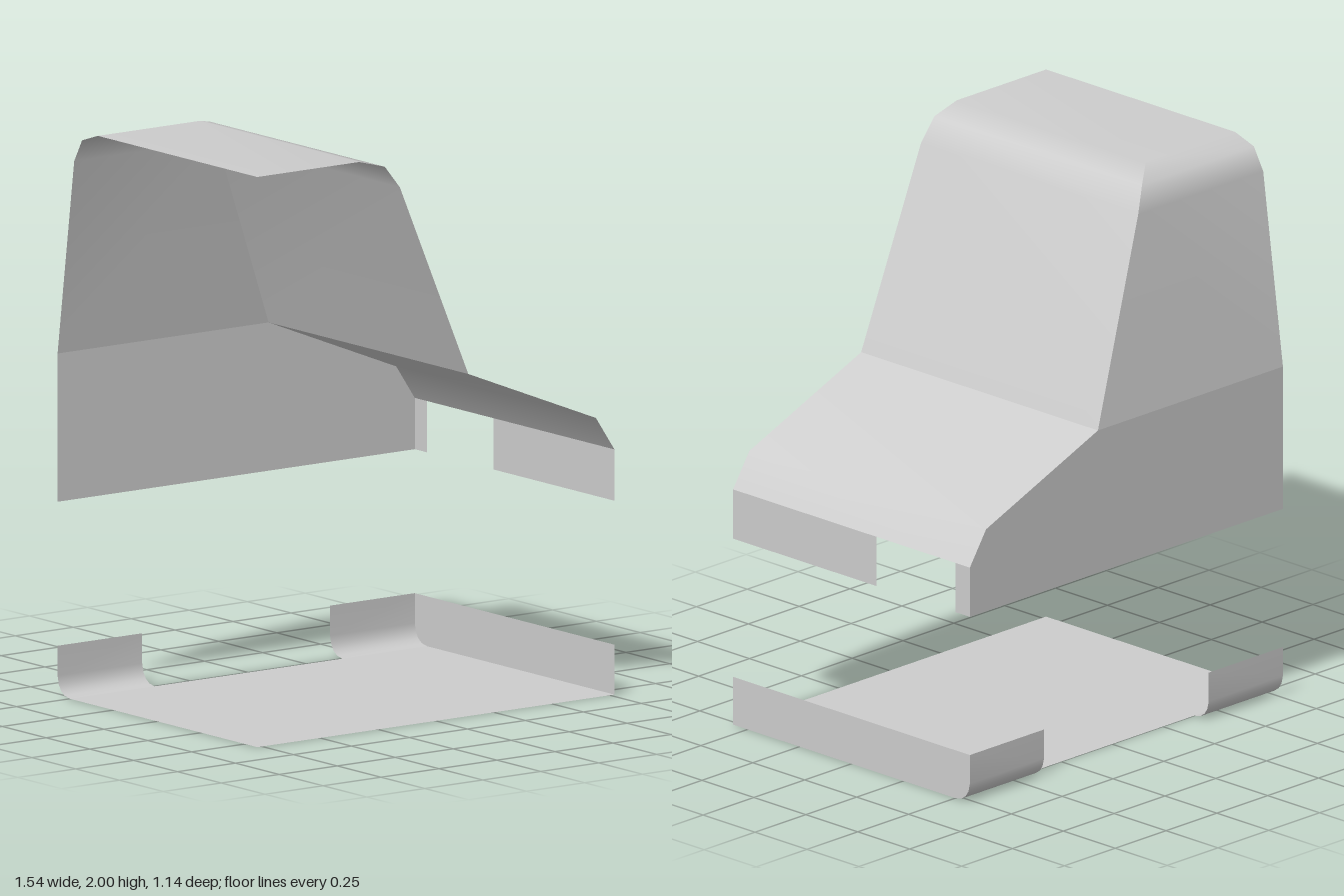
import * as THREE from 'three';

const W = 0.77;   // half width in x
const D = 0.57;   // half depth in z

const sheet = new THREE.MeshStandardMaterial({ color: 0xcccccc, side: THREE.DoubleSide });
sheet.name = 'grey sheet';

// Smooth ruled strip between two rails of [x, y, z] points
function strip(railA, railB) {
  const index = [];
  for (let i = 0; i < railA.length - 1; i++) {
    const a = 2 * i, b = a + 1;
    index.push(a, b, a + 2, b, b + 2, a + 2);
  }
  const geo = new THREE.BufferGeometry();
  const pos = railA.flatMap((p, i) => [...p, ...railB[i]]);
  geo.setAttribute('position', new THREE.Float32BufferAttribute(pos, 3));
  geo.setIndex(index);
  geo.computeVertexNormals();
  return geo;
}

// Flat panel from 2D outline points
function panel(points) {
  return new THREE.ShapeGeometry(new THREE.Shape(points.map(([u, v]) => new THREE.Vector2(u, v))));
}

// Panel facing +x, outline given as [z, y]
const sidePanel = (pts) => panel(pts.map(([z, y]) => [-z, y])).rotateY(Math.PI / 2).translate(W, 0, 0);
// Panel facing -z, outline given as [x, y]
const backPanel = (pts) => panel(pts.map(([x, y]) => [-x, y])).rotateY(Math.PI).translate(0, 0, -D);

export function createModel() {
  const model = new THREE.Group();
  const add = (name, geo, parent) => {
    const mesh = new THREE.Mesh(geo, sheet);
    mesh.name = name;
    parent.add(mesh);
  };

  // Upper shell
  const shell = new THREE.Group();
  shell.name = 'upperShell';
  model.add(shell);

  // Corner line shared by the sloped side and the leaning back
  const corner = [[0.14, 1.2, -D], [-0.155, 1.89, -0.475], [-0.22, 1.97, -0.43], [-0.33, 2, -0.34]];
  const roofEnd = [-W, 2, -0.34];
  const slope = [...corner, roofEnd];
  add('slopeAndRoof', strip(slope.map(([x, y]) => [x, y, D]), slope), shell);
  add('leaningBack', strip(corner, corner.map(([, y, z]) => [-W, y, z])), shell);

  const hood = [[W, 0.86], [0.69, 0.98], [0.14, 1.2]];
  add('hood', strip(hood.map(([x, y]) => [x, y, D]), hood.map(([x, y]) => [x, y, -D])), shell);
  add('lowerBack', backPanel([[-W, 0.68], [W, 0.68], ...hood, [-W, 1.2]]), shell);

  // Side skirt either side of the notch
  for (const [z0, z1] of [[D, -0.12], [-0.5, -D]]) {
    add('sideSkirt', sidePanel([[z0, 0.68], [z1, 0.68], [z1, 0.86], [z0, 0.86]]), shell);
  }

  // Base tray
  const base = new THREE.Group();
  base.name = 'baseTray';
  model.add(base);

  const bend = [[-0.5, 0], [-0.53, 0.006], [-0.55, 0.02], [-0.563, 0.04], [-D, 0.07], [-D, 0.175]];
  add('floor', strip([[W, 0, D], [W, 0, -0.5]], [[-W, 0, D], [-W, 0, -0.5]]), base);
  add('sideWall', sidePanel([[D, 0], ...bend, [D, 0.175]]), base);

  // Curved rear tabs
  for (const [x0, x1] of [[W, 0.405], [-0.405, -W]]) {
    add('rearTab', strip(bend.map(([z, y]) => [x0, y, z]), bend.map(([z, y]) => [x1, y, z])), base);
  }
  return model;
}
